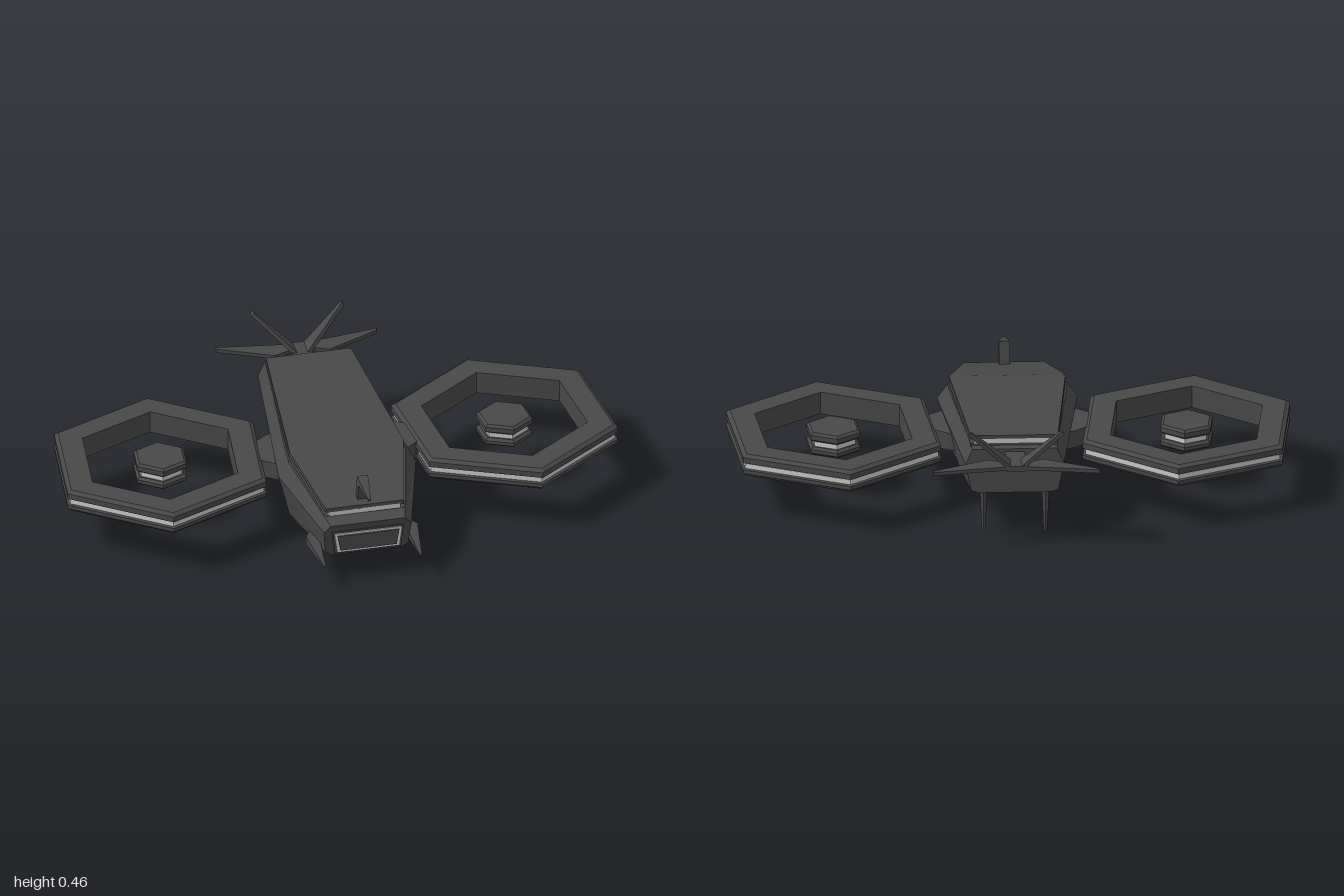
import * as THREE from 'three';

const dark = new THREE.MeshStandardMaterial({ color: 0x484848, flatShading: true });
const light = new THREE.MeshStandardMaterial({ color: 0xcccccc, flatShading: true });

// Skin rings of [x, y, z] points, ordered back to front, each anticlockwise seen from +z
function loft(rings) {
  const pos = [];
  const tri = (...p) => p.forEach((v) => pos.push(...v));
  const n = rings[0].length;
  for (let s = 0; s + 1 < rings.length; s++) {
    const A = rings[s], B = rings[s + 1];
    for (let i = 0; i < n; i++) {
      const j = (i + 1) % n;
      tri(A[i], A[j], B[j]);
      tri(A[i], B[j], B[i]);
    }
  }
  const first = rings[0], last = rings[rings.length - 1];
  for (let i = 1; i + 1 < n; i++) {
    tri(first[0], first[i + 1], first[i]);
    tri(last[0], last[i], last[i + 1]);
  }
  const g = new THREE.BufferGeometry();
  g.setAttribute('position', new THREE.Float32BufferAttribute(pos, 3));
  g.computeVertexNormals();
  return g;
}

// Rectangular ring at z
const rect = (z, x0, x1, y0, y1) => [[x0, y0, z], [x1, y0, z], [x1, y1, z], [x0, y1, z]];

// Flat plate from an [x, z] outline, lying between y0 and y1
function plate(outline, y0, y1) {
  const shape = new THREE.Shape(outline.map(([x, z]) => new THREE.Vector2(x, -z)));
  return new THREE.ExtrudeGeometry(shape, { depth: y1 - y0, bevelEnabled: false })
    .rotateX(-Math.PI / 2).translate(0, y0, 0);
}

// Mirror across x = 0, with the corner order turned round
function mirrored(geometry) {
  const g = geometry.index ? geometry.toNonIndexed() : geometry.clone();
  const p = g.attributes.position;
  g.scale(-1, 1, 1);
  for (let i = 0; i < p.count; i += 3) {
    const b = [p.getX(i + 1), p.getY(i + 1), p.getZ(i + 1)];
    p.setXYZ(i + 1, p.getX(i + 2), p.getY(i + 2), p.getZ(i + 2));
    p.setXYZ(i + 2, ...b);
  }
  g.computeVertexNormals();
  return g;
}

export function createModel() {
  const model = new THREE.Group();
  model.name = 'twinRotorAircraft';
  const add = (name, geometry, material = dark) => {
    const mesh = new THREE.Mesh(geometry, material);
    mesh.name = name;
    model.add(mesh);
  };
  const pair = (name, geometry, material) => {
    add(name + 'Left', geometry, material);
    add(name + 'Right', mirrored(geometry), material);
  };

  // Hull: z, tilt, then half width and height of deck, shoulder, chine and keel
  const hull = [
    [-0.455, 0.05, 0.15, 0.328, 0.175, 0.27, 0.155, 0.172, 0.13, 0.163],
    [-0.14, 0, 0.18, 0.316, 0.211, 0.26, 0.185, 0.13, 0.16, 0.085],
    [0.1, 0, 0.205, 0.302, 0.239, 0.25, 0.205, 0.1, 0.18, 0.065],
    [0.2, 0, 0.213, 0.297, 0.25, 0.245, 0.212, 0.09, 0.185, 0.045],
    [0.515, 0.15, 0.135, 0.215, 0.16, 0.19, 0.15, 0.1, 0.13, 0.085],
  ];
  add('hull', loft(hull.map(([z, tilt, tx, ty, mx, my, lx, ly, bx, by]) =>
    [[-bx, by], [bx, by], [lx, ly], [mx, my], [tx, ty], [-tx, ty], [-mx, my], [-lx, ly]]
      .map(([x, y]) => [x, y, z + tilt * (y - 0.15)]))));

  // Deck: light seam between the hull and a dark cover plate
  const deck = (inset, low, high) => loft(
    [[-0.41, 0.155, 0.365], [0.19, 0.207, 0.333], [0.475, 0.142, 0.259]].map(([z, w, y]) =>
      rect(z, -w + inset, w - inset, y - low, y - high)));
  add('deckBase', deck(0.0, 0.042, 0.03));
  add('deckSeam', deck(0.012, 0.032, 0.013), light);
  add('deckCover', deck(0, 0.015, 0));

  // Nose window with light frame
  const panel = (w, y0, y1, z) => loft([0.48, z].map((d) =>
    [[-w + 0.01, y0, d], [w - 0.01, y0, d], [w, y1, d], [-w, y1, d]]));
  add('noseSurround', panel(0.13, 0.103, 0.19, 0.526));
  add('noseFrame', panel(0.122, 0.109, 0.184, 0.53), light);
  add('noseWindow', panel(0.112, 0.117, 0.176, 0.535));

  // Nose probe on a post, narrowing forwards
  const side = [[0.42, 0.25], [0.445, 0.25], [0.455, 0.328], [0.55, 0.317], [0.55, 0.324], [0.437, 0.357]];
  const probe = new THREE.ExtrudeGeometry(
    new THREE.Shape(side.map((p) => new THREE.Vector2(...p))), { depth: 0.04, bevelEnabled: false })
    .translate(0, 0, -0.02).rotateY(-Math.PI / 2);
  const pp = probe.attributes.position;
  for (let i = 0; i < pp.count; i++) {
    pp.setX(i, pp.getX(i) * (1 - 0.75 * Math.max(0, (pp.getZ(i) - 0.45) / 0.1)));
  }
  add('noseProbe', probe);

  // Forward spikes beside the nose
  pair('noseSpike', loft([
    rect(0.38, 0.15, 0.18, 0.1, 0.12),
    rect(0.43, 0.157, 0.203, 0.094, 0.127),
    rect(0.605, 0.172, 0.178, 0.097, 0.102),
  ]));

  // Landing legs
  const leg = (rTop, rFoot, top, z) =>
    new THREE.CylinderGeometry(rTop, rFoot, top, 6).translate(0.11, top / 2, z);
  pair('frontLeg', leg(0.027, 0.018, 0.075, 0.203));
  pair('rearLeg', leg(0.016, 0.008, 0.19, -0.417));

  // Tail boom, tailplane and V fins
  add('tailBoom', loft([
    rect(-0.572, -0.035, 0.035, 0.295, 0.315),
    rect(-0.51, -0.035, 0.035, 0.293, 0.312),
    rect(-0.44, -0.035, 0.035, 0.265, 0.318),
  ]));
  pair('tailplane', plate(
    [[0, -0.515], [0.035, -0.53], [0.1, -0.503], [0.29, -0.592], [0.295, -0.607], [0.15, -0.585], [0, -0.565]],
    0.298, 0.312));
  pair('tailFin', plate([[0, -0.5], [0.2, -0.575], [0.203, -0.59], [0, -0.57]], -0.007, 0.007)
    .rotateZ(Math.PI / 4).translate(0.023, 0.307, 0));

  // Rotor mounts
  pair('rotorMount', plate(
    [[0.17, -0.12], [0.225, -0.1], [0.28, -0.06], [0.33, -0.06], [0.33, 0.07], [0.28, 0.07], [0.235, 0.105], [0.17, 0.12]],
    0.175, 0.24));

  // Hexagonal duct rings and floating hubs
  const turn = THREE.MathUtils.degToRad(6.3);
  const lathe = (points) => new THREE.LatheGeometry(
    points.map((p) => new THREE.Vector2(...p)), 6, turn).translate(0.627, 0, -0.035);
  pair('ductRing', lathe([
    [0.3, 0.163], [0.394, 0.163], [0.41, 0.176], [0.41, 0.19], [0.392, 0.193], [0.392, 0.212],
    [0.41, 0.216], [0.41, 0.237], [0.394, 0.247], [0.3, 0.247], [0.3, 0.163],
  ]));
  pair('ductStrip', lathe([[0.39, 0.193], [0.4, 0.193], [0.4, 0.211], [0.39, 0.211]]), light);
  const disc = (y0, y1) => lathe(
    [[0, y0], [0.092, y0], [0.103, y0 + 0.008], [0.103, y1 - 0.008], [0.092, y1], [0, y1]]);
  pair('hubLower', disc(0.163, 0.192));
  pair('hubUpper', disc(0.213, 0.247));
  pair('hubCore', lathe([[0, 0.188], [0.085, 0.188], [0.085, 0.217], [0, 0.217]]), light);

  return model;
}
